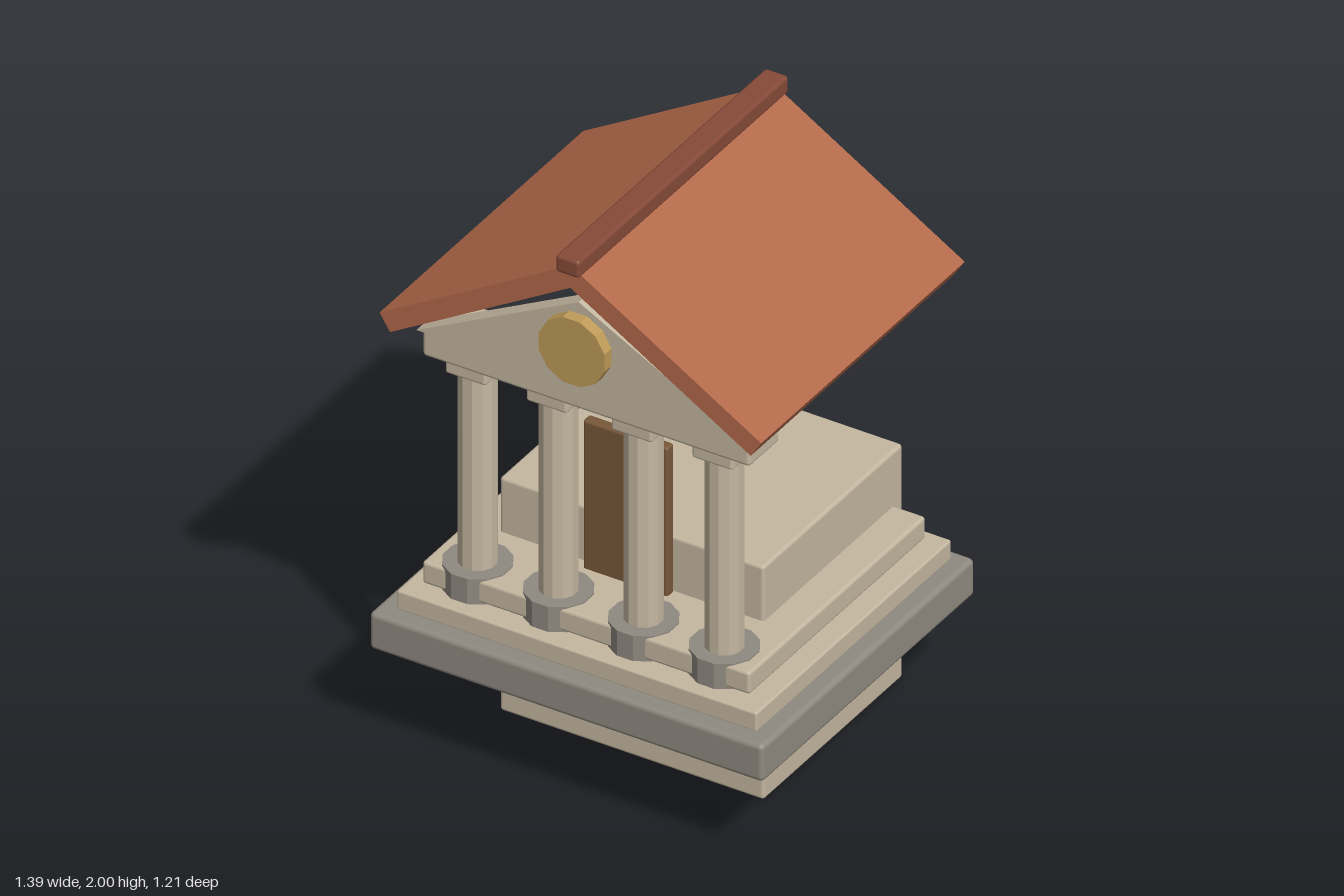
import * as THREE from 'three';
import { RoundedBoxGeometry } from 'three/addons/geometries/RoundedBoxGeometry.js';

const paint = (name, color) => {
  const m = new THREE.MeshStandardMaterial({ color });
  m.name = name;
  return m;
};

export function createModel() {
  const temple = new THREE.Group();
  temple.name = 'temple';
  const stone = paint('pale stone', 0xc4b7a0);
  const grey = paint('grey stone', 0x8f8a80);
  const tile = paint('terracotta', 0xb3694a);
  const ridgeTile = paint('dark terracotta', 0x864a38);
  const wood = paint('door wood', 0x785839);
  const gold = paint('gold', 0xbf9b58);
  for (const m of [stone, grey, gold]) m.flatShading = false;

  const add = (name, geometry, material, parent = temple) => {
    const mesh = new THREE.Mesh(geometry, material);
    mesh.name = name;
    parent.add(mesh);
    return mesh;
  };

  // Soft-edged block, centred on x, from its ranges in y and z
  const block = (name, halfX, y0, y1, z0, z1, material, r = 0.012, parent = temple) => {
    const geo = new RoundedBoxGeometry(halfX * 2, y1 - y0, z1 - z0, 2, r);
    geo.translate(0, (y0 + y1) / 2, (z0 + z1) / 2);
    return add(name, geo, material, parent);
  };

  // Twelve-sided drum with a flat side to the front
  const drum = (r, h) => new THREE.CylinderGeometry(r, r, h, 12, 1, false, Math.PI / 12).toNonIndexed();
  const faceted = (geo) => { geo.computeVertexNormals(); return geo; };

  // Flat outline in x and y, pulled along z
  const prism = (points, z0, z1) => {
    const shape = new THREE.Shape(points.map(([x, y]) => new THREE.Vector2(x, y)));
    const geo = new THREE.ExtrudeGeometry(shape, { depth: z1 - z0, bevelEnabled: false });
    return geo.translate(0, 0, z0);
  };

  // Body and stepped platform
  block('hall', 0.466, 0.005, 0.845, -0.56, 0.232, stone);
  block('lowerStep', 0.695, 0.357, 0.49, -0.603, 0.607, grey, 0.018);
  block('middleStep', 0.635, 0.485, 0.555, -0.565, 0.545, stone, 0.008);
  block('upperStep', 0.578, 0.57, 0.65, -0.512, 0.493, stone);
  block('door', 0.15, 0.63, 1.182, 0.23, 0.269, wood, 0.01);

  // Front columns
  for (const x of [-0.435, -0.15, 0.15, 0.435]) {
    const column = new THREE.Group();
    column.name = 'column';
    column.position.x = x;
    add('columnBase', faceted(drum(0.11, 0.09)), grey, column).position.set(0, 0.61, 0.405);
    add('columnShaft', faceted(drum(0.062, 0.71)), stone, column).position.set(0, 0.995, 0.405);
    block('columnCapital', 0.072, 1.342, 1.395, 0.333, 0.477, stone, 0.01, column);
    temple.add(column);
  }
  block('entablature', 0.578, 1.388, 1.506, 0.32, 0.493, stone, 0.014);

  // Gables at both ends
  const gable = [[-0.572, 1.506], [0.572, 1.506], [0, 1.806]];
  add('frontGable', prism(gable, 0.475, 0.533), stone);
  add('backGable', prism(gable, -0.533, -0.475), stone);
  const medallion = faceted(drum(0.12, 0.045)).rotateX(Math.PI / 2);
  add('medallion', medallion, gold).position.set(0, 1.649, 0.551);

  // Pitched roof and ridge cap
  const roof = [
    [-0.673, 1.56], [-0.636, 1.502], [0, 1.884], [0.636, 1.502], [0.673, 1.56], [0, 1.964],
  ];
  add('roof', prism(roof, -0.578, 0.58), tile);
  block('ridgeCap', 0.042, 1.938, 2, -0.597, 0.6, ridgeTile, 0.012);

  return temple;
}
